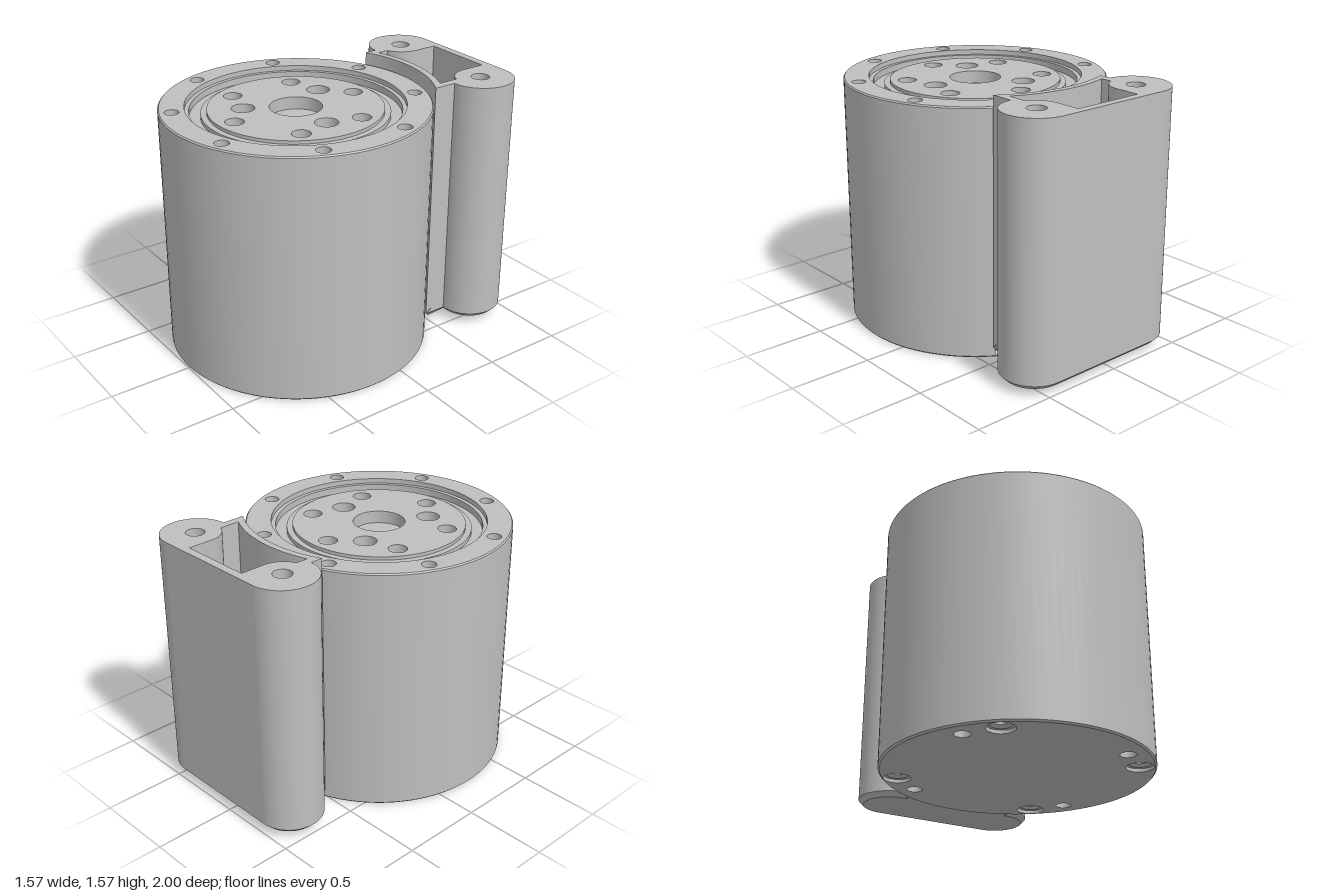
import * as THREE from 'three';
import { toCreasedNormals } from 'three/addons/utils/BufferGeometryUtils.js';

const CZ = 0.213; // z of the motor axis

export function createModel() {
  const model = new THREE.Group();
  model.name = 'gearMotorWithBracket';
  const metal = new THREE.MeshStandardMaterial({ color: 0xbfbfbf });
  metal.name = 'grey metal';

  const add = (name, geo, parent) => {
    const mesh = new THREE.Mesh(toCreasedNormals(geo, 0.5), metal);
    mesh.name = name;
    parent.add(mesh);
    return mesh;
  };
  const lathe = (pts) => new THREE.LatheGeometry(pts.map(([x, y]) => new THREE.Vector2(x, y)), 96);
  const circle = (x, y, r, T = THREE.Path) => {
    const p = new T();
    p.absarc(x, y, r, 0, Math.PI * 2, false);
    return p;
  };
  // Evenly spaced round holes on a pitch circle
  const holeRing = (n, pitch, r, start) => Array.from({ length: n }, (_, i) => {
    const a = start + (i * Math.PI * 2) / n;
    return circle(Math.cos(a) * pitch, Math.sin(a) * pitch, r);
  });
  // Horizontal plate; shape y points to the back (-z)
  const plate = (shape, y0, y1) => {
    const g = new THREE.ExtrudeGeometry(shape, { depth: y1 - y0, bevelEnabled: false, curveSegments: 48 });
    return g.rotateX(-Math.PI / 2).translate(0, y0, 0);
  };

  // ---- Motor body ----
  const motor = new THREE.Group();
  motor.name = 'motor';
  motor.position.z = CZ;
  model.add(motor);

  add('housing', lathe([[0.775, 0], [0.785, 0.01], [0.785, 1.492], [0.778, 1.5]]), motor);

  // Top rim with eight screw holes
  const rim = circle(0, 0, 0.778, THREE.Shape);
  rim.holes.push(circle(0, 0, 0.635), ...holeRing(8, 0.708, 0.042, Math.PI / 8));
  add('topRim', plate(rim, 1.4, 1.5), motor);

  // Stepped recess, also the floor under the screw holes
  add('recess', lathe([
    [0.778, 1.4], [0.635, 1.4], [0.635, 1.47], [0.61, 1.47], [0.61, 1.43], [0.545, 1.43],
    [0.545, 1.455], [0.51, 1.455], [0.51, 1.4], [0, 1.4],
  ]), motor);

  // Output hub with bore, six screw holes and three larger pin holes
  const hub = circle(0, 0, 0.51, THREE.Shape);
  hub.holes.push(
    circle(0, 0, 0.153),
    ...holeRing(6, 0.41, 0.055, Math.PI / 6),
    ...holeRing(3, 0.302, 0.068, 0),
  );
  add('outputHub', plate(hub, 1.4, 1.475), motor);

  // Base with four countersunk screws and four small holes
  const base = circle(0, 0, 0.775, THREE.Shape);
  const screwAngle = -0.66;
  base.holes.push(...holeRing(4, 0.69, 0.08, screwAngle), ...holeRing(4, 0.665, 0.046, screwAngle - 0.32));
  add('basePlate', plate(base, 0, 0.06), motor);
  add('baseFloor', new THREE.CircleGeometry(0.775, 96).rotateX(Math.PI / 2).translate(0, 0.06, 0), motor);
  for (let i = 0; i < 4; i++) {
    const a = screwAngle + (i * Math.PI) / 2;
    const seat = lathe([[0.04, 0.06], [0.04, 0.035], [0.06, 0.02], [0.08, 0.02]].reverse());
    seat.scale(1, 1, 1);
    const ring = add('screwSeat', seat, motor);
    ring.position.set(Math.cos(a) * 0.69, 0, -Math.sin(a) * 0.69);
    ring.material = seatMetal(metal);
  }

  // ---- Rear cable bracket ----
  const bracket = new THREE.Group();
  bracket.name = 'bracket';
  model.add(bracket);

  const L = -0.31, R = 0.435, B = 0.8; // boss centres
  const arcAngle = (x, r) => Math.acos(x / r);

  const outline = new THREE.Shape();
  outline.moveTo(R, -CZ + Math.sqrt(0.64 - R * R));
  outline.absarc(R, B, 0.2, -Math.PI / 2, Math.PI / 2, false);
  outline.absarc(L, B, 0.2, Math.PI / 2, Math.PI * 1.5, false);
  outline.absarc(0, -CZ, 0.8, arcAngle(L, 0.8), arcAngle(R, 0.8), true);

  // Pocket wraps around both bosses and follows the motor
  const pocket = new THREE.Path();
  const pr = 0.15, turn = Math.acos(0.05 / pr);
  pocket.moveTo(R - 0.05, -CZ + Math.sqrt(0.84 * 0.84 - (R - 0.05) ** 2));
  pocket.absarc(R, B, pr, -Math.PI + turn, -Math.PI, true);
  pocket.lineTo(R - pr, 0.95);
  pocket.lineTo(L + pr, 0.95);
  pocket.absarc(L, B, pr, 0, -turn, true);
  pocket.absarc(0, -CZ, 0.84, arcAngle(L + 0.05, 0.84), arcAngle(R - 0.05, 0.84), true);

  const walls = outline.clone();
  walls.holes.push(pocket, circle(L, B, 0.055), circle(R, B, 0.055));
  add('bracketWalls', plate(walls, 0.07, 1.57), bracket);

  // Chamfered floor
  const floor = new THREE.ExtrudeGeometry(outline, {
    depth: 0.001, bevelEnabled: true, bevelThickness: 0.03, bevelSize: 0.03,
    bevelOffset: -0.03, bevelSegments: 1, curveSegments: 48,
  });
  add('bracketFloor', floor.rotateX(-Math.PI / 2).translate(0, 0.07, 0), bracket);

  return model;
}

// Screw seats are open surfaces, so both sides show
let seatMat = null;
function seatMetal(metal) {
  if (!seatMat) {
    seatMat = metal.clone();
    seatMat.name = 'grey metal, open surface';
    seatMat.side = THREE.DoubleSide;
  }
  return seatMat;
}
